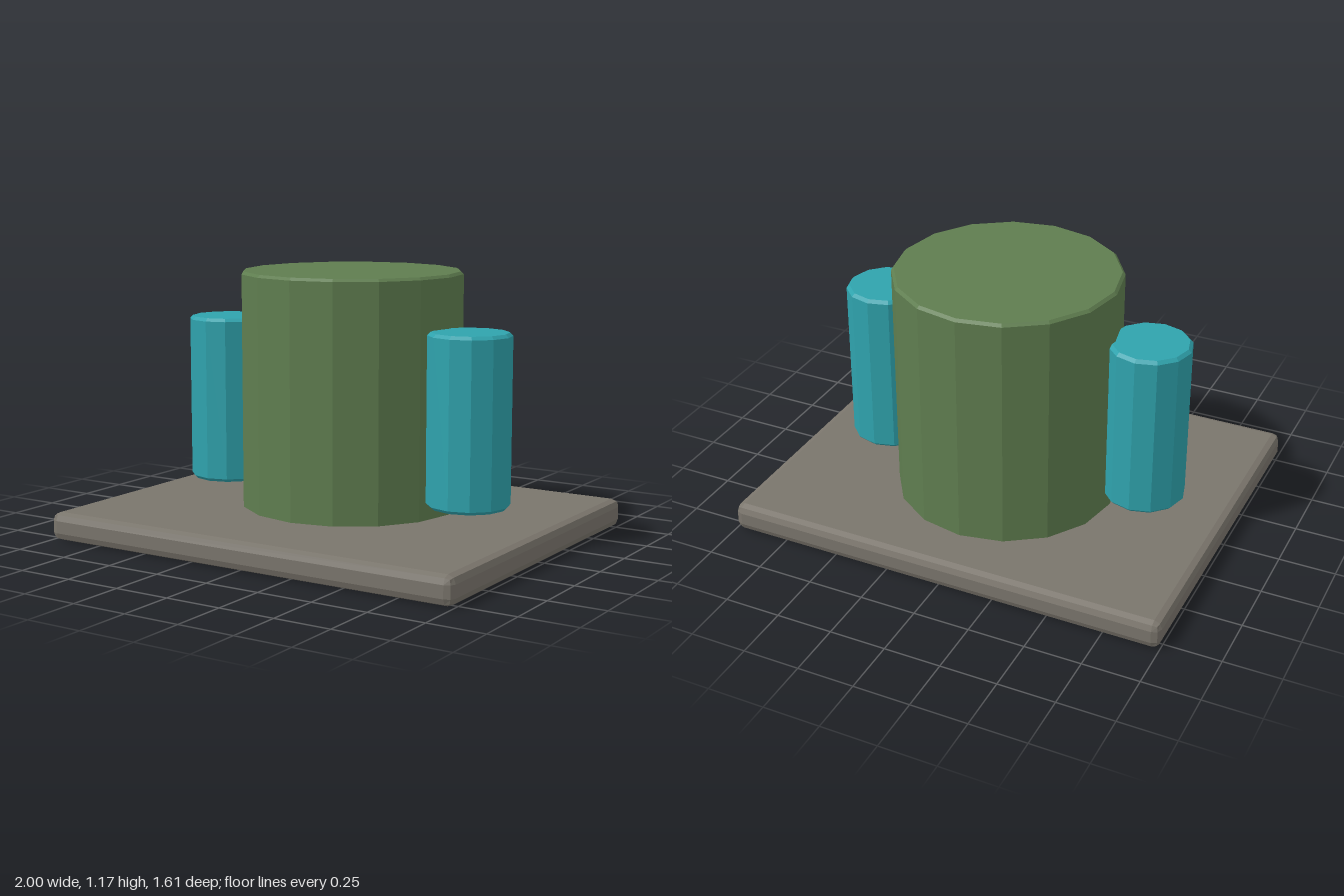
import * as THREE from 'three';
import { RoundedBoxGeometry } from 'three/addons/geometries/RoundedBoxGeometry.js';

function material(color) {
  return new THREE.MeshStandardMaterial({ color, flatShading: true });
}

// Upright faceted cylinder with a small bevel at both rims
function bevelledCylinder(radius, bottom, top, bevel, sides) {
  const profile = [
    [0, bottom], [radius - bevel, bottom], [radius, bottom + bevel],
    [radius, top - bevel], [radius - bevel, top], [0, top],
  ].map(([r, y]) => new THREE.Vector2(r, y));
  return new THREE.LatheGeometry(profile, sides);
}

export function createModel() {
  const model = new THREE.Group();
  const add = (name, geometry, mat, x, y, z) => {
    const mesh = new THREE.Mesh(geometry, mat);
    mesh.name = name;
    mesh.position.set(x, y, z);
    model.add(mesh);
  };

  // Flat rectangular slab with softened edges
  add('basePlate', new RoundedBoxGeometry(2, 0.125, 1.61, 1, 0.035), material(0x7a756c), 0, 0.0625, 0);

  // Large 16-sided drum, set slightly towards the back
  add('mainDrum', bevelledCylinder(0.494, 0.11, 1.17, 0.012, 16), material(0x5f7d4f), 0, 0, -0.09);

  // Pair of 12-sided side cylinders, raised above the slab
  const sideGeometry = bevelledCylinder(0.181, 0.19, 0.94, 0.014, 12);
  const sideMaterial = material(0x2fa3ad);
  for (const [name, sign] of [['leftCylinder', 1], ['rightCylinder', -1]]) {
    add(name, sideGeometry, sideMaterial, sign * 0.626, 0, -0.024);
  }

  return model;
}
